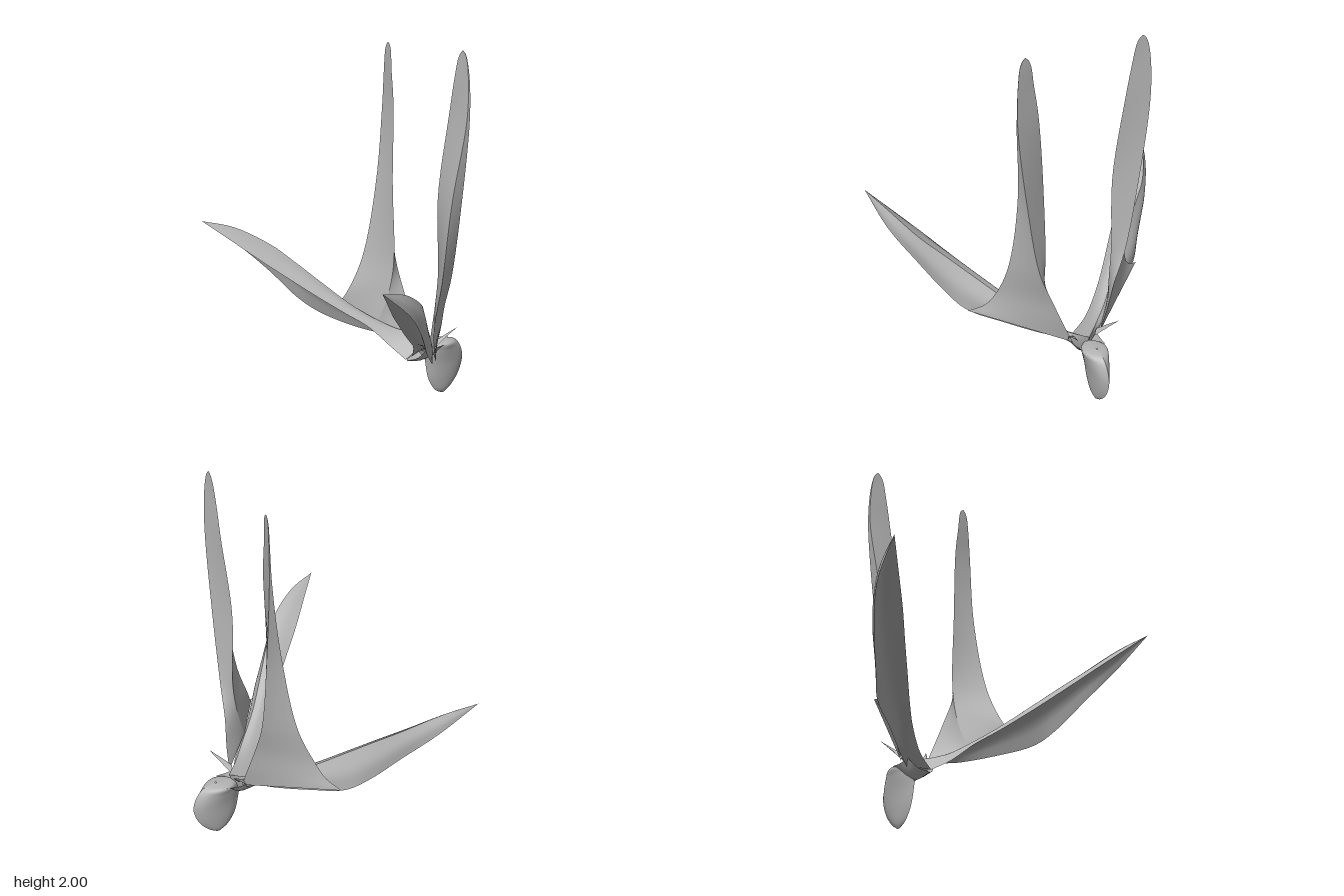
import * as THREE from 'three';

const grey = new THREE.MeshStandardMaterial({ color: 0xb4b4b4, side: THREE.DoubleSide });
grey.name = 'plain grey';

// Smooth sheet through rows of [x, y, z] points; side = -1 mirrors it in x.
function loft(rows, side = 1, along = 32, across = 8) {
  const vec = (p) => new THREE.Vector3(p[0] * side, p[1], p[2]);
  const columns = rows[0].map((_, c) => new THREE.CatmullRomCurve3(rows.map((r) => vec(r[c]))));
  const pos = [], index = [];
  for (let i = 0; i <= along; i++) {
    const row = columns.map((c) => c.getPoint(i / along));
    const section = new THREE.CatmullRomCurve3(row);
    for (let j = 0; j <= across; j++) pos.push(...section.getPoint(j / across).toArray());
  }
  const n = across + 1;
  for (let i = 0; i < along; i++) {
    for (let j = 0; j < across; j++) {
      const a = i * n + j, b = a + 1, c = a + n, d = c + 1;
      if (side > 0) index.push(a, b, c, b, d, c);
      else index.push(a, c, b, b, c, d);
    }
  }
  const g = new THREE.BufferGeometry();
  g.setAttribute('position', new THREE.Float32BufferAttribute(pos, 3));
  g.setIndex(index);
  g.computeVertexNormals();
  return g;
}

// Rows between two edge lines, with the middle pushed by a bulge vector
const strip = (a, b, bulge = [0, 0, 0]) => a.map((p, i) => {
  const k = Math.sin((Math.PI * i) / (a.length - 1));
  return [p, p.map((v, n) => (v + b[i][n]) / 2 + k * bulge[n]), b[i]];
});

// Arm lines: front edge, ridge and low outer edge, running from hub to tip
const tip = [0.865, 1.005, 0.605];
const frontEdge = [[0, 0.26, -0.19], [0.1, 0.32, -0.155], [0.21, 0.42, -0.08], [0.3, 0.49, 0.01],
  [0.41, 0.585, 0.13], [0.53, 0.695, 0.26], [0.63, 0.79, 0.37], [0.76, 0.91, 0.5], tip];
const ridge = [[0, 0.36, -0.385], [0.1, 0.375, -0.29], [0.2, 0.415, -0.2], [0.33, 0.51, -0.07],
  [0.48, 0.645, 0.06], [0.6, 0.755, 0.16], [0.7, 0.845, 0.25], [0.805, 0.955, 0.43], tip];
const lowEdge = [[0, 0.23, -0.33], [0.12, 0.335, -0.29], [0.22, 0.35, -0.2], [0.36, 0.385, -0.08],
  [0.53, 0.45, 0.045], [0.61, 0.535, 0.14], [0.715, 0.69, 0.26], [0.815, 0.85, 0.41], tip];

// Hollow under the arm, drawn in towards the ridge
const hollow = frontEdge.map((p, i) => {
  const q = lowEdge[i], r = ridge[i];
  return [p, p.map((v, n) => 0.3 * (v + q[n]) + 0.4 * r[n]), q];
});

// Upright blade corners: outer edge, inner edge and back crease, from root to top
const bladeOuter = [[0.53, 0.455, 0.02], [0.45, 0.5, -0.03], [0.4, 0.585, -0.07], [0.36, 0.79, -0.15],
  [0.338, 1.22, -0.23], [0.368, 1.65, -0.295], [0.363, 1.85, -0.303], [0.35, 1.955, -0.302],
  [0.337, 1.985, -0.301], [0.322, 2, -0.3]];
const bladeInner = [[0.24, 0.43, -0.17], [0.225, 0.48, -0.19], [0.205, 0.62, -0.23], [0.198, 0.8, -0.255],
  [0.2, 1.22, -0.245], [0.242, 1.67, -0.28], [0.27, 1.85, -0.287], [0.288, 1.955, -0.295],
  [0.302, 1.985, -0.298], [0.318, 2, -0.3]];
const bladeBack = [[0.08, 0.33, -0.345], [0.13, 0.45, -0.335], [0.185, 0.6, -0.315], [0.255, 0.79, -0.305],
  [0.325, 1.22, -0.308], [0.37, 1.65, -0.312], [0.366, 1.85, -0.31], [0.35, 1.955, -0.305],
  [0.337, 1.985, -0.303], [0.322, 2, -0.301]];

// Tail pod levels: height, back z, front z, half width
const podLevels = [[0.003, -0.47, -0.45, 0.002], [0.03, -0.515, -0.405, 0.014], [0.1, -0.575, -0.358, 0.028],
  [0.2, -0.605, -0.333, 0.043], [0.28, -0.578, -0.325, 0.06], [0.32, -0.535, -0.35, 0.068], [0.335, -0.47, -0.46, 0.004]];
const podRows = podLevels.map(([y, back, front, w]) => {
  const at = (t) => back + (front - back) * t;
  return [[0, y, back], [w * 0.7, y, at(0.2)], [w, y, at(0.5)], [w * 0.7, y, at(0.8)], [0, y, front]];
});

// Small pointed thorn beside the hub
const thornRows = [
  [[0.05, 0.33, -0.35], [0.075, 0.36, -0.33], [0.1, 0.33, -0.32]],
  [[0.1, 0.388, -0.39], [0.112, 0.4, -0.375], [0.122, 0.385, -0.37]],
  [[0.154, 0.445, -0.43], [0.155, 0.446, -0.43], [0.156, 0.445, -0.43]],
];

// Flap joining the hub to the tail pod
const hubRows = [
  [[0, 0.25, -0.2], [0.05, 0.275, -0.24], [0.085, 0.33, -0.28]],
  [[0, 0.235, -0.32], [0.045, 0.265, -0.34], [0.077, 0.32, -0.36]],
  [[0, 0.29, -0.4], [0.03, 0.3, -0.41], [0.07, 0.325, -0.43]],
];

export function createModel() {
  const model = new THREE.Group();
  const add = (name, geometry) => {
    const mesh = new THREE.Mesh(geometry, grey);
    mesh.name = name;
    model.add(mesh);
  };
  for (const [label, side] of [['left', 1], ['right', -1]]) {
    add(label + 'ArmTop', loft(strip(frontEdge, ridge, [0, 0.015, 0]), side, 40));
    add(label + 'ArmOuter', loft(strip(ridge, lowEdge, [0.014, 0, -0.014]), side, 40));
    add(label + 'ArmHollow', loft(hollow, side, 40));
    add(label + 'BladeFront', loft(strip(bladeOuter, bladeInner), side, 48));
    add(label + 'BladeOuterFace', loft(strip(bladeBack, bladeOuter), side, 48));
    add(label + 'BladeInnerFace', loft(strip(bladeInner, bladeBack), side, 48));
    add(label + 'TailPod', loft(podRows, side, 32, 16));
    add(label + 'Thorn', loft(thornRows, side, 8, 6));
    add(label + 'HubFlap', loft(hubRows, side, 10, 6));
  }
  return model;
}
